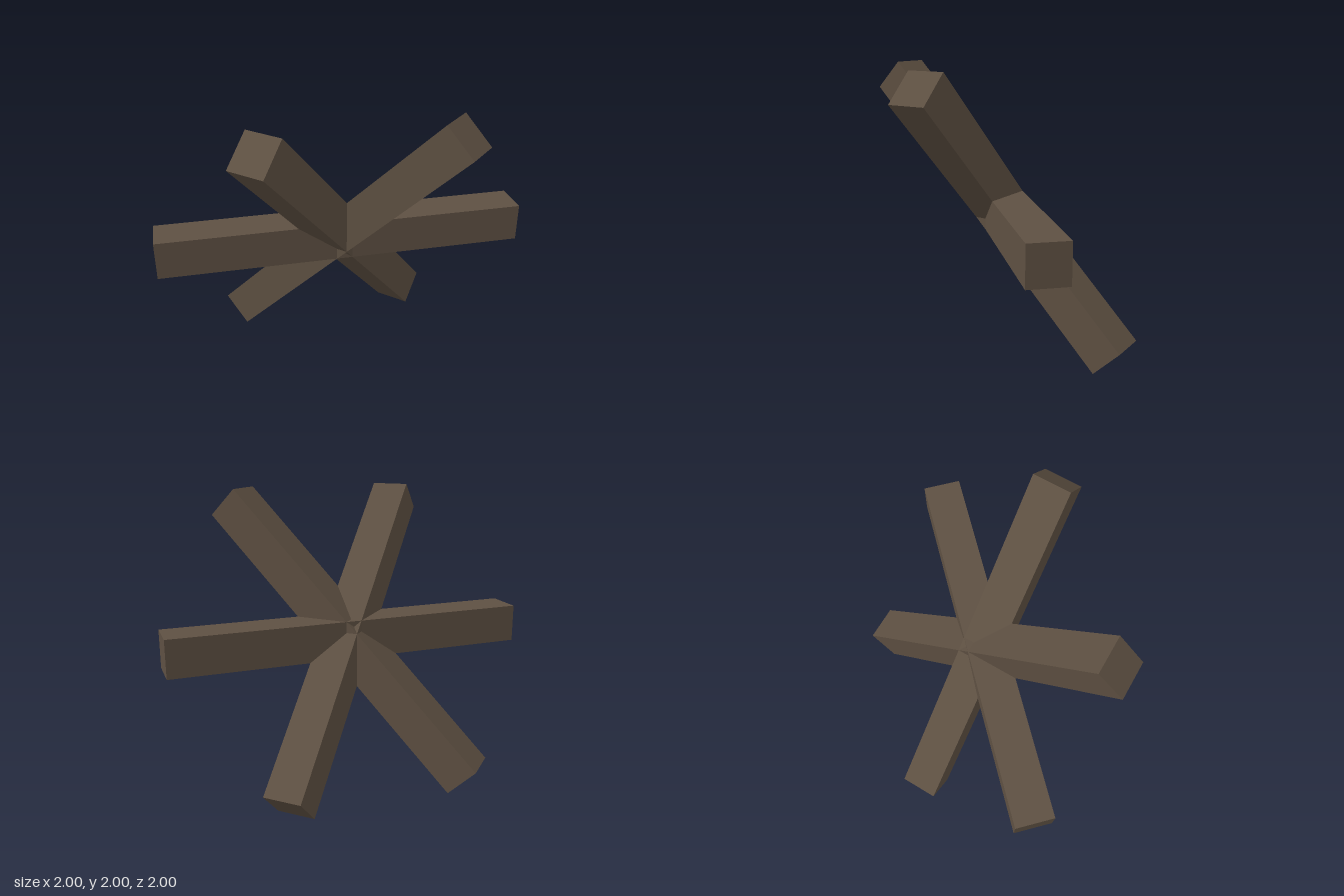
import * as THREE from 'three';

export function createModel() {
  const group = new THREE.Group();
  const darkWood = new THREE.MeshStandardMaterial({ color: 0x5e5042 });
  darkWood.name = 'darkWood';

  // Square beam whose diagonal placement spans exactly two units
  const width = 0.265;
  const length = 2 * Math.SQRT2 - width;
  const tilt = Math.PI / 4;

  function beam(name, size, rotation) {
    const mesh = new THREE.Mesh(new THREE.BoxGeometry(...size), darkWood);
    mesh.name = name;
    mesh.position.y = 1;
    mesh.rotation.set(...rotation);
    group.add(mesh);
  }

  // Three beams crossing at their centres, one diagonal per coordinate plane
  beam('sideLeaningBeam', [length, width, width], [0, 0, tilt]);
  beam('frontLeaningBeam', [width, width, length], [-tilt, 0, 0]);
  beam('levelBeam', [length, width, width], [0, tilt, 0]);

  return group;
}
